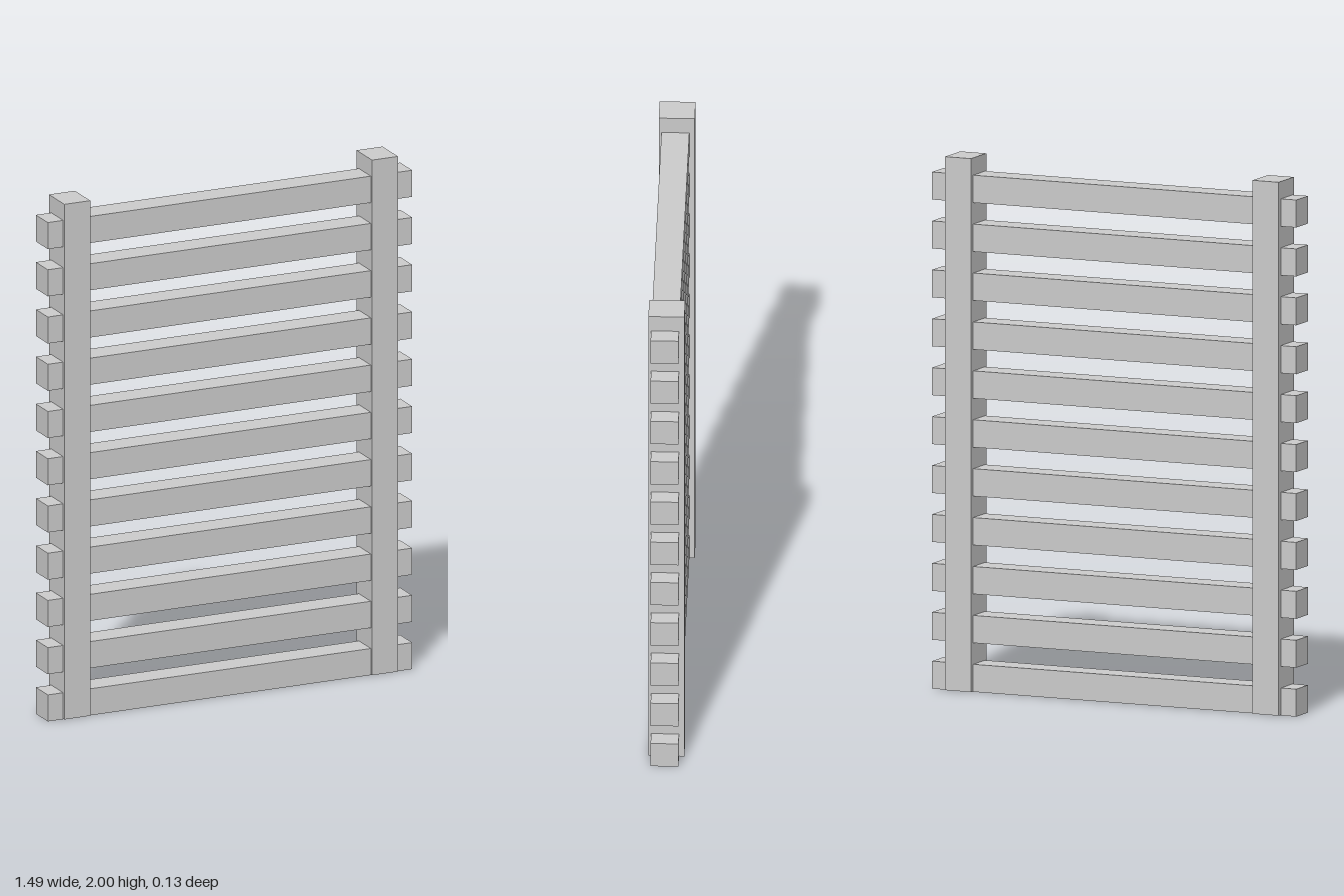
import * as THREE from 'three';

const material = new THREE.MeshStandardMaterial({ color: 0xcccccc, flatShading: true });

function addBox(parent, name, size, position) {
  const mesh = new THREE.Mesh(new THREE.BoxGeometry(...size), material);
  mesh.name = name;
  mesh.position.set(...position);
  parent.add(mesh);
}

export function createModel() {
  const model = new THREE.Group();
  model.name = 'slattedFence';

  // two upright posts, a little deeper than the slats
  const postBottom = 0.002;
  const postHeight = 2 - postBottom;
  for (const [name, side] of [['leftPost', 1], ['rightPost', -1]]) {
    addBox(model, name, [0.106, postHeight, 0.133], [side * 0.629, postBottom + postHeight / 2, 0]);
  }

  // evenly spaced slats running through the posts, set slightly forward
  const slatCount = 11;
  const slatHeight = 0.103;
  const pitch = 0.1832;
  const slats = new THREE.Group();
  slats.name = 'slats';
  for (let i = 0; i < slatCount; i++) {
    addBox(slats, `slat${i + 1}`, [1.49, slatHeight, 0.103], [0, slatHeight / 2 + i * pitch, 0.005]);
  }
  model.add(slats);

  return model;
}
